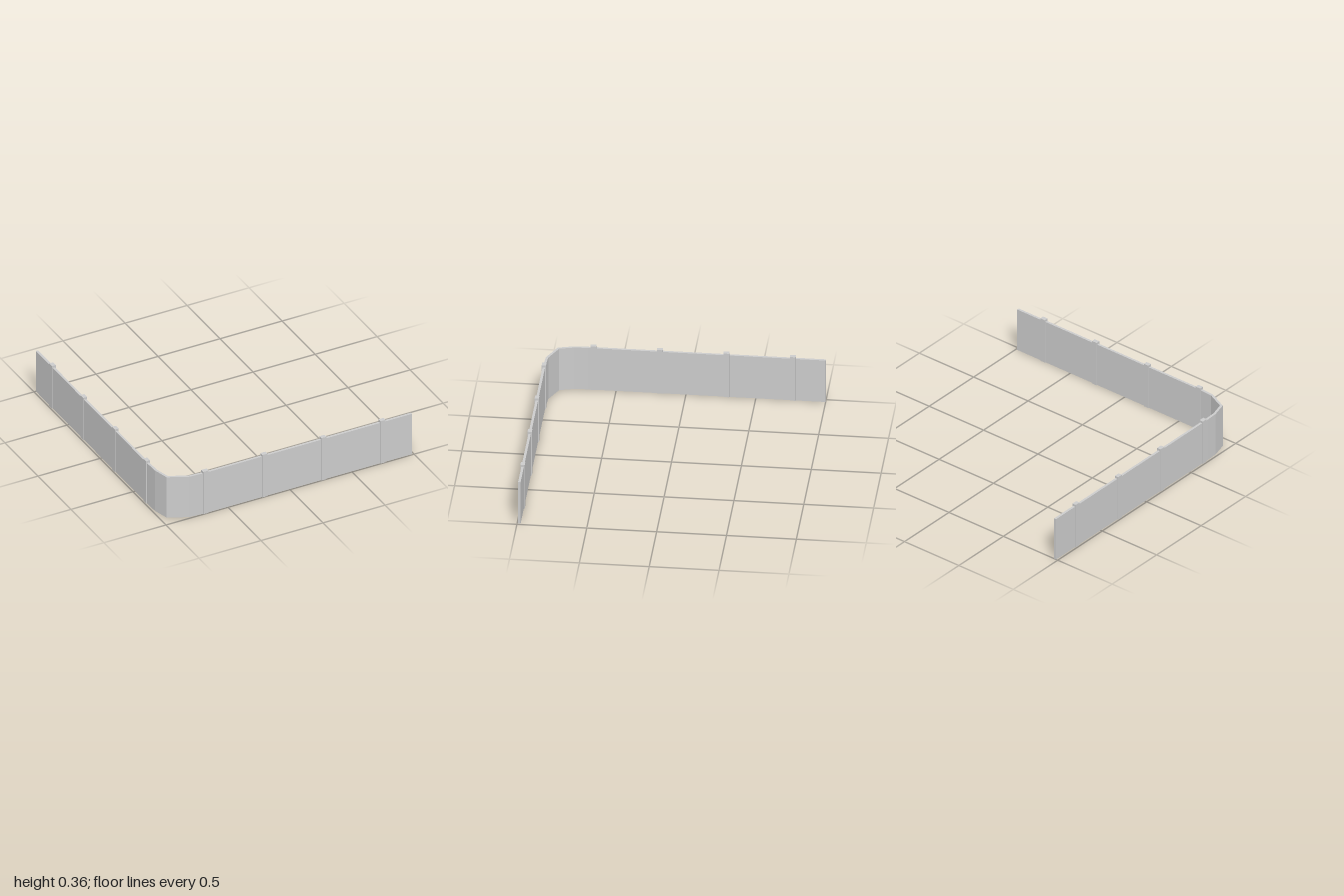
import * as THREE from 'three';

const WALL_HEIGHT = 0.34, WALL_THICKNESS = 0.018;
const POST_HEIGHT = 0.357, POST_WIDTH = 0.042, POST_DEPTH = 0.031;
const SIDE_X = -0.976, FRONT_Z = 0.984;

// Centre line of the wall in plan (x, z): side run, faceted bend, front run
const PATH = [
  [SIDE_X, -1], [SIDE_X, 0.7], [-0.972, 0.797], [-0.942, 0.91],
  [-0.803, 0.976], [-0.69, FRONT_Z], [0.988, FRONT_Z],
].map(([x, z]) => new THREE.Vector2(x, z));

// Offsets a polyline sideways with mitred corners
function offsetPath(points, distance) {
  const normal = (a, b) => new THREE.Vector2(a.y - b.y, b.x - a.x).normalize();
  return points.map((p, i) => {
    const before = normal(points[Math.max(i - 1, 0)], points[Math.max(i, 1)]);
    const last = points.length - 1;
    const after = normal(points[Math.min(i, last - 1)], points[Math.min(i + 1, last)]);
    const mitre = before.clone().add(after).normalize();
    return p.clone().addScaledVector(mitre, distance / mitre.dot(before));
  });
}

export function createModel() {
  const model = new THREE.Group();
  model.name = 'cornerWall';
  const material = new THREE.MeshStandardMaterial({ color: 0xcccccc, flatShading: true });

  // Continuous wall panel, extruded upwards from its plan outline
  const half = WALL_THICKNESS / 2;
  const outline = [...offsetPath(PATH, half), ...offsetPath(PATH, -half).reverse()];
  const wallGeometry = new THREE.ExtrudeGeometry(new THREE.Shape(outline), {
    depth: WALL_HEIGHT, bevelEnabled: false,
  });
  wallGeometry.rotateX(Math.PI / 2).translate(0, WALL_HEIGHT, 0);
  const wall = new THREE.Mesh(wallGeometry, material);
  wall.name = 'wallPanel';
  model.add(wall);

  // Evenly spaced posts, slightly thicker and taller than the panel
  const postGeometry = new THREE.BoxGeometry(POST_WIDTH, POST_HEIGHT, POST_DEPTH);
  const addPost = (name, x, z, turn) => {
    const post = new THREE.Mesh(postGeometry, material);
    post.name = name;
    post.position.set(x, POST_HEIGHT / 2, z);
    post.rotation.y = turn;
    model.add(post);
  };
  for (let i = 0; i < 4; i++) {
    addPost(`frontPost${i + 1}`, -0.678 + i * 0.476, FRONT_Z, 0);
    addPost(`sidePost${i + 1}`, SIDE_X, 0.663 - i * 0.476, Math.PI / 2);
  }
  return model;
}
